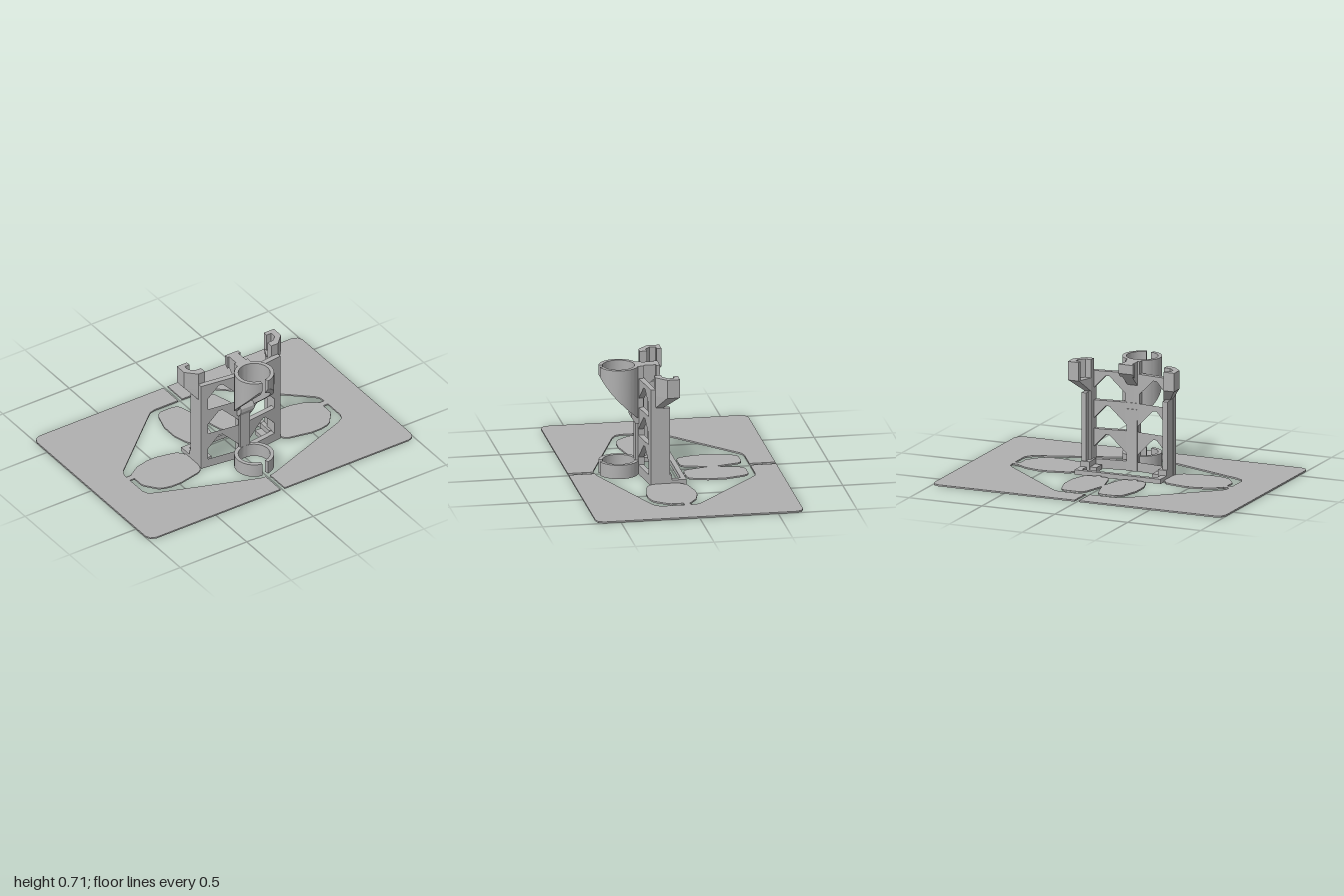
import * as THREE from 'three';
import { toCreasedNormals } from 'three/addons/utils/BufferGeometryUtils.js';
import { ConvexGeometry } from 'three/addons/geometries/ConvexGeometry.js';

const RING_Z = 0.335;

export function createModel() {
  const model = new THREE.Group();
  model.name = 'slottedStandOnCardBase';
  const grey = new THREE.MeshStandardMaterial({ color: 0xb0b0b0 });
  grey.name = 'plain grey';

  const add = (name, geometry) => {
    const mesh = new THREE.Mesh(geometry, grey);
    mesh.name = name;
    model.add(mesh);
    return mesh;
  };
  const polygon = (pts) => new THREE.Shape(pts.map(([x, y]) => new THREE.Vector2(x, y)));

  // Box given by its limits
  const block = (name, x0, x1, y0, y1, z0, z1) => {
    const g = new THREE.BoxGeometry(Math.abs(x1 - x0), y1 - y0, z1 - z0);
    return add(name, g.translate((x0 + x1) / 2, (y0 + y1) / 2, (z0 + z1) / 2));
  };

  // Upright prism with an outline in x, z
  const slab = (name, pts, y0, y1, s = 1) => {
    const shape = polygon(pts.map(([x, z]) => [x * s, -z]));
    const g = new THREE.ExtrudeGeometry(shape, { depth: y1 - y0, bevelEnabled: false });
    return add(name, g.rotateX(-Math.PI / 2).translate(0, y0, 0));
  };

  // Sideways prism with a profile in z, y, centred on x = 0
  const sideProfile = (name, pts, width) => {
    const shape = polygon(pts.map(([z, y]) => [-z, y]));
    const g = new THREE.ExtrudeGeometry(shape, { depth: width, bevelEnabled: false });
    return add(name, g.rotateY(Math.PI / 2).translate(-width / 2, 0, 0));
  };

  // Split ring whose lower rim follows a height rule in z
  const splitRing = (name, top, bottomAt) => {
    const n = 64, gap = 0.17, pos = [];
    const section = (i) => {
      const a = gap + (i / n) * (2 * Math.PI - 2 * gap);
      const at = (r, high) => {
        const z = RING_Z + r * Math.cos(a);
        return [r * Math.sin(a), high ? top : bottomAt(z), z];
      };
      return [at(0.125, false), at(0.125, true), at(0.1, true), at(0.1, false)];
    };
    const quad = (a, b, c, d) => pos.push(...a, ...b, ...c, ...a, ...c, ...d);
    for (let i = 0; i < n; i++) {
      const p = section(i), q = section(i + 1);
      for (let k = 0; k < 4; k++) quad(p[k], q[k], q[(k + 1) % 4], p[(k + 1) % 4]);
    }
    quad(...section(0));
    quad(...section(n).reverse());
    const g = new THREE.BufferGeometry();
    g.setAttribute('position', new THREE.Float32BufferAttribute(pos, 3));
    add(name, toCreasedNormals(g, 0.5));
  };

  // Half of the card frame, with the bridge that holds the side pad
  const frame = [
    [0.016, -0.665], [0.95, -0.665], [0.985, -0.65], [1, -0.615],
    [1, 0.605], [0.985, 0.64], [0.95, 0.655], [0.016, 0.655],
    [0.016, 0.49], [0.05, 0.485], [0.69, 0.25], [0.73, 0.225], [0.745, 0.19],
    [0.745, 0.05], [0.7, 0.05], [0.7, 0.01], [0.745, 0.01],
    [0.74, -0.03], [0.72, -0.06], [0.26, -0.465], [0.23, -0.49], [0.19, -0.5], [0.016, -0.5],
  ];
  const sidePad = [
    [0.29, 0.02], [0.33, -0.035], [0.36, -0.045], [0.47, -0.068], [0.54, -0.068], [0.63, -0.045],
    [0.7, 0], [0.71, 0.02], [0.71, 0.13], [0.7, 0.15], [0.645, 0.22], [0.61, 0.238],
    [0.56, 0.248], [0.49, 0.248], [0.34, 0.217], [0.31, 0.195], [0.29, 0.14],
  ];
  const backPad = [
    [0, -0.28], [0.04, -0.43], [0.055, -0.45], [0.085, -0.46], [0.175, -0.46], [0.2, -0.445],
    [0.215, -0.42], [0.247, -0.31], [0.247, -0.19], [0.22, -0.1], [0.205, -0.075], [0.175, -0.065],
    [0.075, -0.065], [0.05, -0.075], [0.035, -0.1], [0, -0.24],
  ];

  // Holder bracket: hooked upper part and the section of its tapered root
  const hook = [
    [0.29, 0.01], [0.365, 0.01], [0.365, 0.09], [0.3, 0.155], [0.25, 0.155],
    [0.25, 0.11], [0.29, 0.11], [0.325, 0.08], [0.325, 0.04], [0.29, 0.04],
  ];
  const rootTop = [[0.29, 0.01], [0.365, 0.01], [0.365, 0.09], [0.3, 0.155], [0.25, 0.155], [0.25, 0.105]];
  const rootBottom = [[0.25, 0.105], [0.295, 0.105], [0.295, 0.155], [0.25, 0.155]];

  for (const s of [1, -1]) {
    const side = s > 0 ? 'left' : 'right';

    slab(side + 'CardFrame', frame, 0, 0.01, s);
    slab(side + 'SidePad', sidePad, 0, 0.01, s);
    slab(side + 'BackPad', backPad, 0, 0.01, s);
    block(side + 'BackPadTab', s * 0.11, s * 0.14, 0, 0.01, -0.07, -0.04);

    // Side arm, foot and grooved post
    block(side + 'BaseArm', s * 0.255, s * 0.295, 0, 0.03, -0.045, 0.155);
    block(side + 'Foot', s * 0.19, s * 0.255, 0, 0.03, 0.06, 0.14);
    block(side + 'FootStep', s * 0.235, s * 0.295, 0, 0.065, 0.05, 0.155);
    block(side + 'Post', s * 0.25, s * 0.295, 0.03, 0.52, 0.105, 0.158);
    block(side + 'PostRib', s * 0.263, s * 0.295, 0.03, 0.505, 0.06, 0.105);

    // Slanted truss panel with three pointed openings
    const panel = polygon([[0, 0], [0.298, 0], [0.298, 0.63], [0, 0.63]].map(([x, y]) => [x * s, y]));
    for (const [b, t] of [[0.06, 0.22], [0.255, 0.405], [0.44, 0.6]]) {
      const opening = [[0.04, b], [0.25, b], [0.25, t - 0.08], [0.175, t], [0.15, t], [0.04, t - 0.11]];
      panel.holes.push(polygon(opening.map(([x, y]) => [x * s, y])));
    }
    const g = new THREE.ExtrudeGeometry(panel, { depth: 0.035, bevelEnabled: false });
    const p = g.attributes.position;
    for (let i = 0; i < p.count; i++) p.setZ(i, p.getZ(i) + 0.187 - 0.13 * Math.abs(p.getX(i)));
    g.computeVertexNormals();
    add(side + 'TrussPanel', g);

    // Bracket on top of the post
    slab(side + 'BracketHook', hook, 0.59, 0.71, s);
    const corners = [
      ...rootTop.map(([x, z]) => new THREE.Vector3(x * s, 0.592, z)),
      ...rootBottom.map(([x, z]) => new THREE.Vector3(x * s, 0.508, z)),
    ];
    add(side + 'BracketRoot', new ConvexGeometry(corners));
  }

  // Rear bar of the base
  block('baseBackBar', -0.295, 0.295, 0, 0.03, -0.045, -0.013);

  // Central spine with the wedge under the cup
  block('spine', -0.035, 0.035, 0, 0.4, 0.175, 0.235);
  sideProfile('cupWedge', [
    [0.18, 0.33], [0.235, 0.335], [0.262, 0.375], [0.262, 0.4], [0.235, 0.44], [0.18, 0.44],
  ], 0.1);
  block('upperSpine', -0.05, 0.05, 0.4, 0.71, 0.185, 0.23);

  // Rear hook behind the cup
  sideProfile('rearHookStem', [[0.1, 0.71], [0.19, 0.71], [0.19, 0.55], [0.1, 0.63]], 0.07);
  sideProfile('rearHookHead', [[0.08, 0.71], [0.105, 0.71], [0.105, 0.625], [0.08, 0.65]], 0.1);

  // Lower ring and the cup with its slanted underside
  splitRing('lowerRing', 0.09, () => 0);
  splitRing('upperCup', 0.71, (z) => {
    const t = (z - 0.21) / 0.25;
    return 0.36 + 0.25 * t + 0.04 * t ** 6;
  });

  return model;
}
